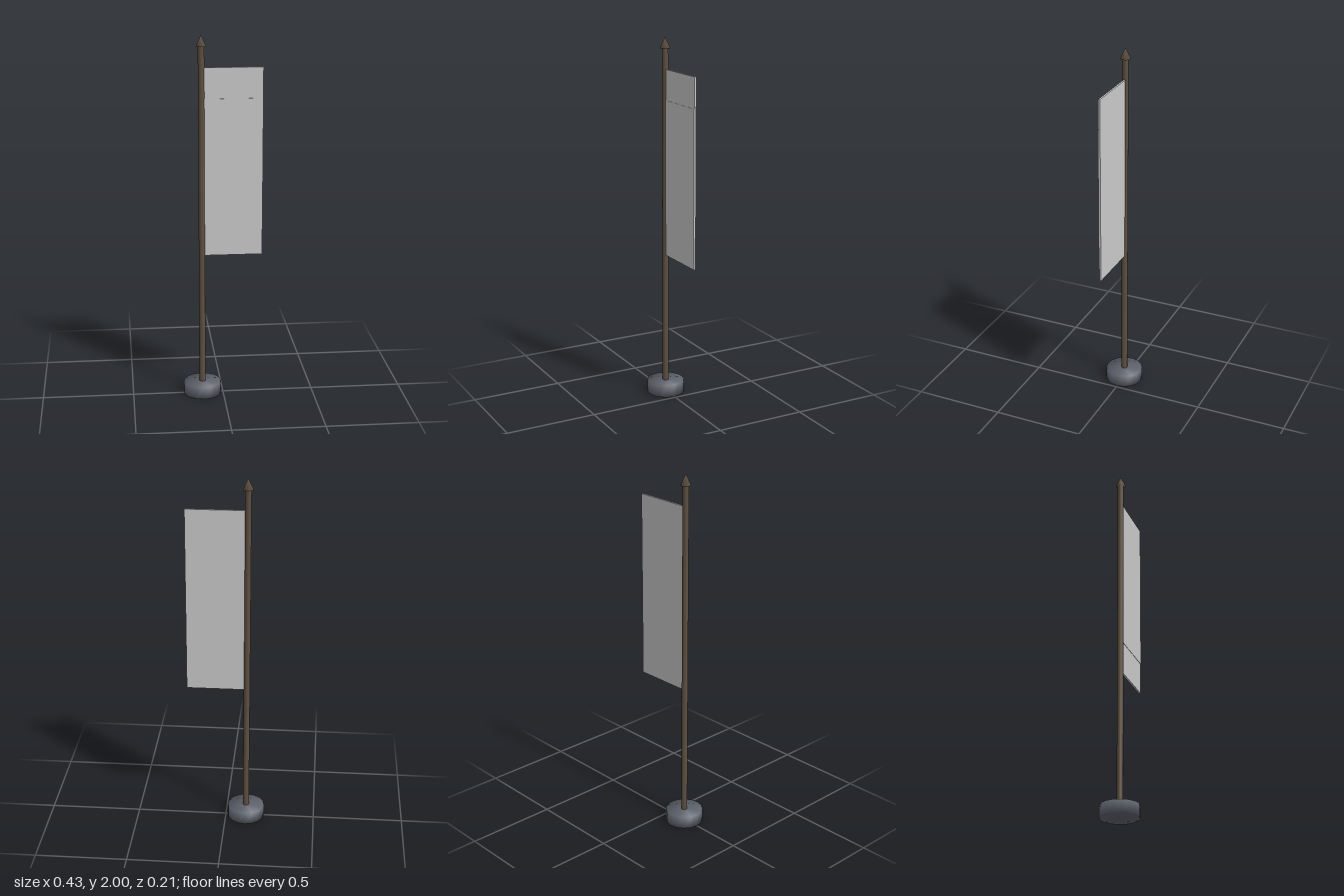
import * as THREE from 'three';
import { mergeVertices } from 'three/addons/utils/BufferGeometryUtils.js';

const POLE_X = -0.114;

// Welds all corners so the shading runs smoothly over the rims
function smooth(geometry) {
  geometry.deleteAttribute('normal');
  geometry.deleteAttribute('uv');
  const welded = mergeVertices(geometry, 1e-4);
  welded.computeVertexNormals();
  return welded;
}

export function createModel() {
  const group = new THREE.Group();
  group.name = 'bannerOnPole';

  const stone = new THREE.MeshStandardMaterial({ color: 0x5f636d });
  const wood = new THREE.MeshStandardMaterial({ color: 0x5f5042 });
  const cloth = new THREE.MeshStandardMaterial({ color: 0xcccccc });

  const add = (name, geometry, material, x, y, z = 0) => {
    const mesh = new THREE.Mesh(geometry, material);
    mesh.name = name;
    mesh.position.set(x, y, z);
    group.add(mesh);
  };

  // Round foot, pole and pointed tip share one axis
  add('base', smooth(new THREE.CylinderGeometry(0.103, 0.103, 0.07, 16)), stone, POLE_X, 0.035);
  add('pole', smooth(new THREE.CylinderGeometry(0.017, 0.017, 1.88, 12)), wood, POLE_X, 1.0);
  add('finial', smooth(new THREE.ConeGeometry(0.028, 0.06, 12)), wood, POLE_X, 1.97);

  // Hanging cloth with a slightly raised middle panel on the front
  const left = -0.1, right = 0.214;
  const width = right - left, middle = (left + right) / 2;
  add('banner', new THREE.BoxGeometry(width, 1.025, 0.01), cloth, middle, 1.317, -0.001);
  add('bannerPanel', new THREE.BoxGeometry(width, 0.685, 0.002), cloth, middle, 1.322, 0.005);

  return group;
}
